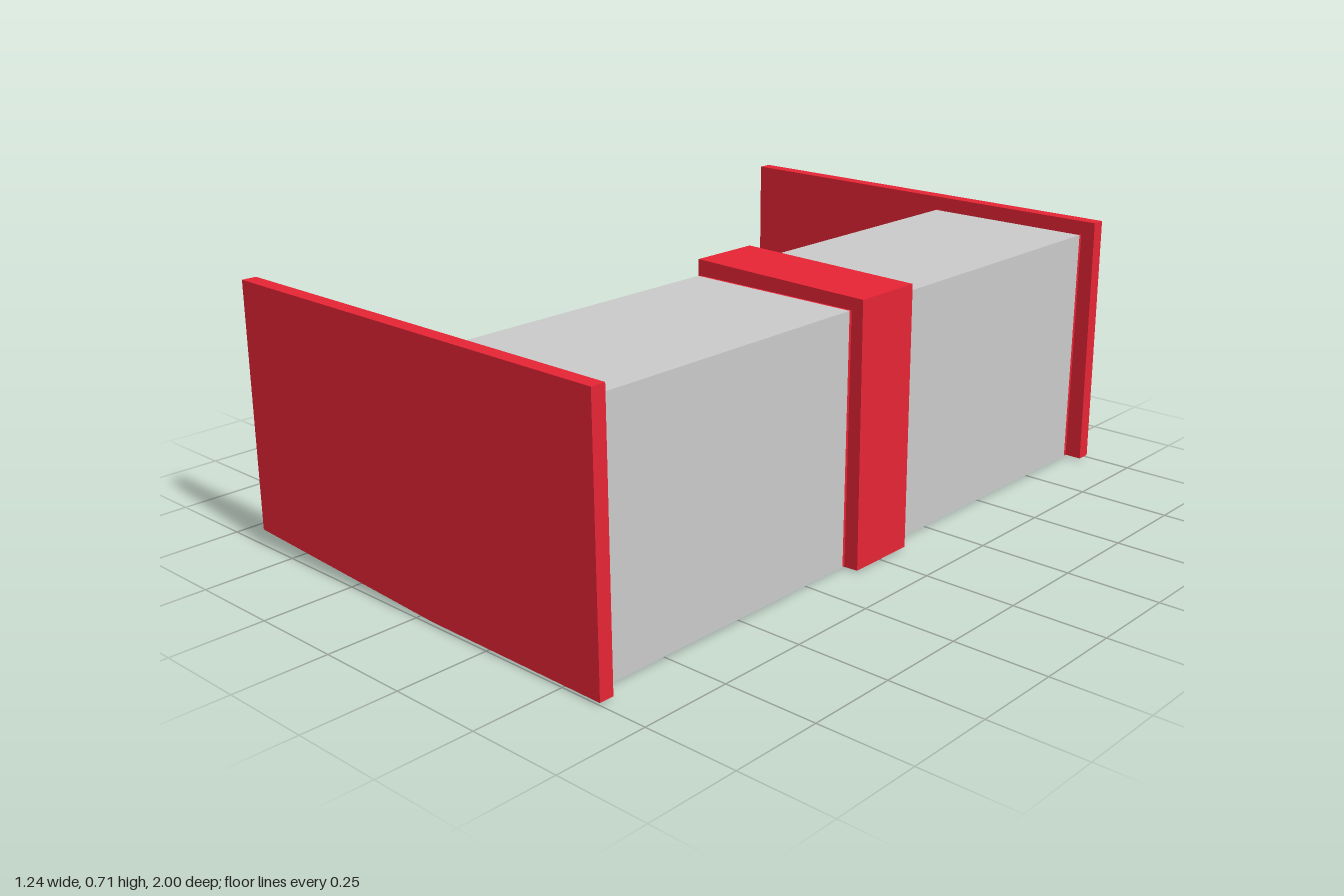
import * as THREE from 'three';

const mat = (color) => new THREE.MeshStandardMaterial({ color, flatShading: true });

export function createModel() {
  const model = new THREE.Group();
  model.name = 'shelfUnit';
  const red = mat(0xe72434), grey = mat(0xcccccc), pink = mat(0xe0439c);

  // box given by its limits on each axis
  function box(parent, name, material, [x0, x1], [y0, y1], [z0, z1]) {
    const mesh = new THREE.Mesh(new THREE.BoxGeometry(x1 - x0, y1 - y0, z1 - z0), material);
    mesh.position.set((x0 + x1) / 2, (y0 + y1) / 2, (z0 + z1) / 2);
    mesh.name = name;
    parent.add(mesh);
  }

  // slab with an outline in x/y, extruded along z
  function slab(name, outline, z0, depth) {
    const shape = new THREE.Shape(outline.map(([x, y]) => new THREE.Vector2(x, y)));
    const geometry = new THREE.ExtrudeGeometry(shape, { depth, bevelEnabled: false });
    const mesh = new THREE.Mesh(geometry, red);
    mesh.position.z = z0;
    mesh.name = name;
    model.add(mesh);
  }

  // end panels, with the underside rising towards -x
  const panel = [[-0.62, 0.045], [0.06, 0.009], [0.617, 0.006], [0.61, 0.709], [-0.62, 0.709]];
  slab('frontEndPanel', panel, 0.96, 0.04);
  slab('rearEndPanel', panel, -1, 0.04);

  // central post, slightly tapered
  slab('centrePost', [[0.06, 0.008], [0.51, 0], [0.61, 0.004], [0.603, 0.702], [0.075, 0.712]], -0.1, 0.2);

  // one open-backed cabinet bay on each side of the post
  for (const side of [1, -1]) {
    const bay = new THREE.Group();
    bay.name = side > 0 ? 'frontBay' : 'rearBay';
    const span = (a, b) => (side > 0 ? [a, b] : [-b, -a]);
    const z = span(0.112, 0.945);

    box(bay, 'topBoard', grey, [0.085, 0.573], [0.655, 0.672], z);
    box(bay, 'facePanel', grey, [0.56, 0.573], [0.006, 0.655], z);
    box(bay, 'floor', red, [0.08, 0.56], [0.006, 0.02], z);
    box(bay, 'postLining', red, [0.085, 0.57], [0.006, 0.67], span(0.1, 0.112));
    for (const x of [0.08, 0.564]) {
      box(bay, 'endStrip', red, [x, x + 0.006], [0.006, 0.67], span(0.945, 0.96));
    }
    for (const y of [0.2, 0.525]) {
      box(bay, 'shelf', pink, [0.1, 0.56], [y, y + 0.018], z);
    }
    model.add(bay);
  }
  return model;
}
